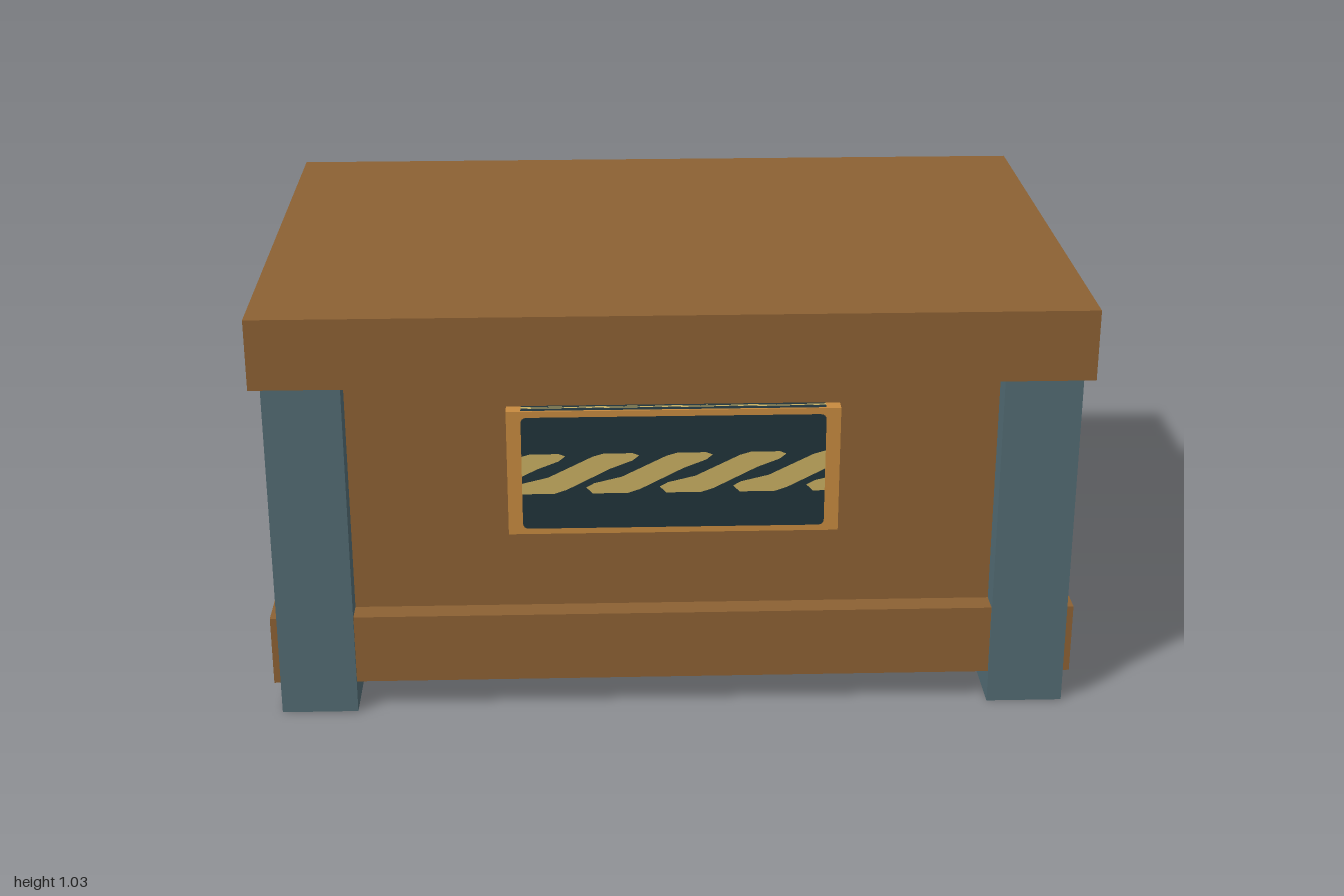
import * as THREE from 'three';

const paint = (name, color) => {
  const m = new THREE.MeshStandardMaterial({ color });
  m.name = name;
  return m;
};

export function createModel() {
  const wood = paint('brown wood', 0x8c6133);
  const metal = paint('blue grey metal', 0x526b73);
  const frameWood = paint('orange frame', 0xc68a3f);
  const dark = paint('dark slate', 0x20333a);
  const gold = paint('pale gold', 0xc9b062);

  const model = new THREE.Group();
  model.name = 'crate';

  // Box given by its size, centre x/z and bottom y
  const box = (name, mat, w, h, d, x, y, z, parent = model) => {
    const mesh = new THREE.Mesh(new THREE.BoxGeometry(w, h, d), mat);
    mesh.name = name;
    mesh.position.set(x, y + h / 2, z);
    parent.add(mesh);
    return mesh;
  };

  // Body, lid and the band around the base
  box('lid', wood, 2, 0.175, 1.336, 0, 0.86, 0);
  box('body', wood, 1.836, 0.62, 1.2, 0, 0.245, 0);
  box('baseBand', wood, 1.976, 0.177, 1.314, 0, 0.08, 0);

  // Corner posts
  for (const sx of [-1, 1])
    for (const sz of [-1, 1])
      box(sz > 0 ? 'frontPost' : 'backPost', metal, 0.187, 0.86, 0.188, sx * 0.878, 0, sz * 0.569);

  // Framed plaque on the front
  const W = 0.8, H = 0.32, D = 0.035;
  const plaque = new THREE.Group();
  plaque.name = 'plaque';
  plaque.position.set(0, 0.625, 0.6 + D / 2);
  model.add(plaque);
  box('plaqueFrame', frameWood, W, H, D, 0, -H / 2, 0, plaque);

  // Dark field with rounded corners
  const a = 0.365, b = 0.145, r = 0.015;
  const field = new THREE.Shape();
  field.moveTo(-a + r, -b).lineTo(a - r, -b).quadraticCurveTo(a, -b, a, -b + r);
  field.lineTo(a, b - r).quadraticCurveTo(a, b, a - r, b);
  field.lineTo(-a + r, b).quadraticCurveTo(-a, b, -a, b - r);
  field.lineTo(-a, -b + r).quadraticCurveTo(-a, -b, -a + r, -b);
  const fieldGeo = new THREE.ShapeGeometry(field, 4);

  // Slanted rope strands, cut off at the sides of the field
  const strand = [
    [0, -0.037], [0.016, -0.053], [0.1, -0.053], [0.13, -0.043], [0.235, 0.011], [0.289, 0.032],
    [0.305, 0.045], [0.289, 0.051], [0.22, 0.051], [0.193, 0.043], [0.086, -0.01], [0.02, -0.026],
  ];
  const clip = (pts, side) => pts.flatMap((p, i) => {
    const q = pts[(i + 1) % pts.length];
    const inP = side * p[0] <= a, inQ = side * q[0] <= a;
    const out = inP ? [p] : [];
    if (inP !== inQ) {
      const t = (side * a - p[0]) / (q[0] - p[0]);
      out.push([side * a, p[1] + t * (q[1] - p[1])]);
    }
    return out;
  });
  const strandShapes = [];
  for (let i = 0; i < 6; i++) {
    const moved = strand.map(([x, y]) => [x - 0.565 + i * 0.177, y]);
    const pts = clip(clip(moved, 1), -1);
    strandShapes.push(new THREE.Shape(pts.map(([x, y]) => new THREE.Vector2(x, y))));
  }
  const ropeGeo = new THREE.ShapeGeometry(strandShapes);

  // The same picture is fitted to the front and squeezed onto the thin edges
  const addPicture = (name, w, h, pos, rx, ry) => {
    const g = new THREE.Group();
    g.name = name;
    const panel = new THREE.Mesh(fieldGeo, dark);
    panel.name = 'darkField';
    panel.position.z = 0.0015;
    const rope = new THREE.Mesh(ropeGeo, gold);
    rope.name = 'ropeStrands';
    rope.position.z = 0.003;
    g.add(panel, rope);
    g.scale.set(w / W, h / H, 1);
    g.position.set(...pos);
    g.rotation.set(rx, ry, 0);
    plaque.add(g);
  };
  const q = Math.PI / 2;
  addPicture('frontPicture', W, H, [0, 0, D / 2], 0, 0);
  for (const s of [-1, 1]) {
    addPicture('sidePicture', D, H, [s * W / 2, 0, 0], 0, s * q);
    addPicture(s > 0 ? 'topPicture' : 'bottomPicture', W, D, [0, s * H / 2, 0], -s * q, 0);
  }

  return model;
}
